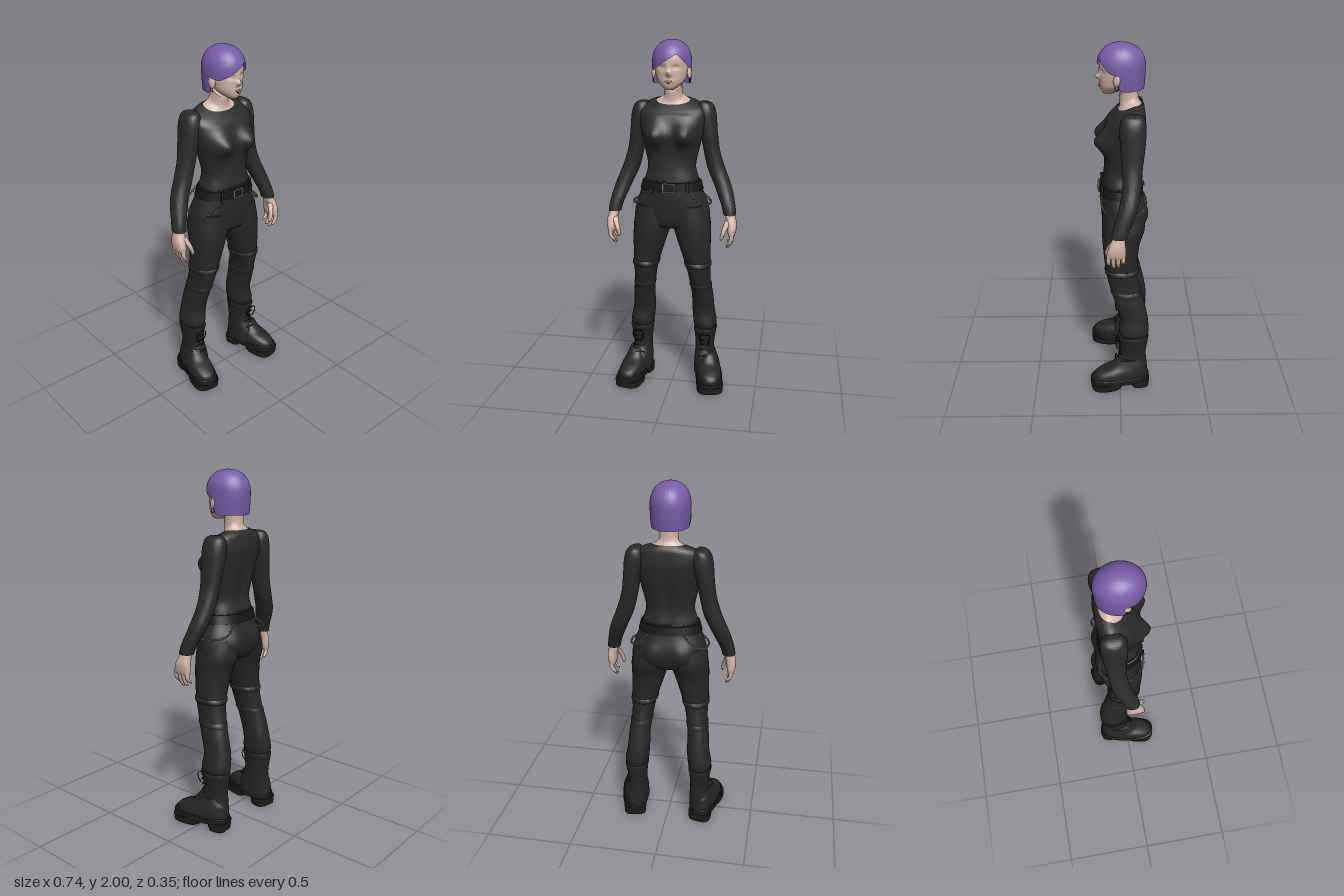
import * as THREE from 'three';
import { toCreasedNormals } from 'three/addons/utils/BufferGeometryUtils.js';

const mat = (name, color, side = THREE.FrontSide) => {
  const m = new THREE.MeshStandardMaterial({ color, side });
  m.name = name;
  return m;
};

// Smooth rows of numbers with a Catmull-Rom spline, k steps per span
function smooth(rows, k) {
  const out = [], at = i => rows[Math.max(0, Math.min(rows.length - 1, i))];
  for (let i = 0; i < rows.length - 1; i++) {
    for (let j = 0; j < k; j++) {
      const t = j / k, a = at(i - 1), b = at(i), c = at(i + 1), d = at(i + 2);
      out.push(b.map((_, n) => 0.5 * (2 * b[n] + (c[n] - a[n]) * t
        + (2 * a[n] - 5 * b[n] + 4 * c[n] - d[n]) * t * t
        + (3 * b[n] - a[n] - 3 * c[n] + d[n]) * t * t * t)));
    }
  }
  out.push(rows[rows.length - 1]);
  return out;
}

// Join equal rings of points, listed from top to bottom
function skin(rings, crease = 1) {
  const seg = rings[0].length, index = [];
  for (let i = 0; i < rings.length - 1; i++) {
    for (let j = 0; j < seg; j++) {
      const p = i * seg + j, q = i * seg + (j + 1) % seg;
      index.push(p, q, p + seg, q, q + seg, p + seg);
    }
  }
  const g = new THREE.BufferGeometry();
  g.setAttribute('position', new THREE.Float32BufferAttribute(rings.flat(2), 3));
  g.setIndex(index);
  return toCreasedNormals(g, crease);
}

// Body part from level rings; each row is [y, x0, x1, zBack, zFront]
function loft(rows, { k = 5, seg = 32, n = 2.2, caps = true, bump = null, crease = 1 } = {}) {
  const rings = smooth(rows, k).map(([y, x0, x1, z0, z1]) => Array.from({ length: seg }, (_, j) => {
    const a = j / seg * Math.PI * 2, c = Math.cos(a), s = Math.sin(a);
    const p = [(x0 + x1) / 2 + (x1 - x0) / 2 * Math.sign(c) * Math.abs(c) ** (2 / n), y,
      (z0 + z1) / 2 + (z1 - z0) / 2 * Math.sign(s) * Math.abs(s) ** (2 / n)];
    return bump ? bump(p, s) : p;
  }));
  if (caps) {
    const centre = r => r.map(() => [0, 1, 2].map(i => r.reduce((t, p) => t + p[i], 0) / seg));
    rings.unshift(centre(rings[0]));
    rings.push(centre(rings[rings.length - 1]));
  }
  return skin(rings, crease);
}

const sym = rows => rows.map(([y, r, z0, z1]) => [y, -r, r, z0, z1]);
const flip = (rows, s) => s > 0 ? rows : rows.map(([y, a, b, c, d]) => [y, -b, -a, c, d]);
const grow = (rows, d) => rows.map(([y, a, b, c, e]) => [y, a - d, b + d, c - d, e + d]);
const gauss = (x, y, cx, cy, sx, sy) => Math.exp(-(((x - cx) / sx) ** 2) - ((y - cy) / sy) ** 2);
const path = pts => new THREE.CatmullRomCurve3(pts.map(p => new THREE.Vector3(...p)));

// Hair shell with a lower edge that varies around the head (degrees from model's left)
const HAIRLINE = [[-180, 1.765], [-8, 1.765], [4, 1.775], [12, 1.85], [30, 1.862], [55, 1.905], [66, 1.925],
  [90, 1.9], [120, 1.865], [148, 1.84], [166, 1.85], [173, 1.775], [180, 1.765]];
function hairGeometry() {
  const edge = d => {
    const i = Math.max(1, HAIRLINE.findIndex(h => h[0] >= d)), a = HAIRLINE[i - 1], b = HAIRLINE[i];
    return a[1] + (b[1] - a[1]) * (d - a[0]) / (b[0] - a[0]);
  };
  const seg = 96, steps = 24, rings = [];
  for (let i = 0; i <= steps; i++) {
    rings.push(Array.from({ length: seg }, (_, j) => {
      const d = -180 + j / seg * 360, a = d * Math.PI / 180;
      const y = 2 - (2 - edge(d)) * (1 - Math.cos(i / steps * Math.PI / 2));
      const u = Math.max(0, (y - 1.88) / 0.12), low = Math.max(0, 1.88 - y);
      const s = Math.max(0, 1 - u ** 2.2) ** (1 / 2.2) * (1 - 0.5 * low * low / 0.115);
      return [0.107 * s * Math.cos(a), y, -0.008 + 0.127 * s * Math.sin(a)];
    }));
  }
  return skin(rings, 1.2);
}

export function createModel() {
  const root = new THREE.Group();
  root.name = 'figure';
  const M = {
    skin: mat('skin', 0xcfb3a7), hair: mat('hair purple', 0x775ca6, THREE.DoubleSide),
    shirt: mat('shirt black', 0x2a2a2a, THREE.DoubleSide), pants: mat('trouser black', 0x272727),
    boot: mat('boot black', 0x252525), sole: mat('sole black', 0x1d1d1d), metal: mat('chain steel', 0x8c8c8c),
    dark: mat('dark detail', 0x171717), lips: mat('lips', 0xa98880),
  };
  const add = (name, geo, m, parent = root) => {
    const mesh = new THREE.Mesh(geo, m);
    mesh.name = name;
    parent.add(mesh);
    return mesh;
  };
  const tube = (name, pts, r, m, parent = root) =>
    add(name, new THREE.TubeGeometry(path(pts), 16, r, 6), m, parent);

  // Head and neck
  add('head', loft(sym([[1.985, 0.03, -0.05, 0.04], [1.95, 0.075, -0.1, 0.085], [1.9, 0.09, -0.115, 0.104],
    [1.85, 0.09, -0.11, 0.103], [1.81, 0.083, -0.085, 0.102], [1.78, 0.07, -0.045, 0.101],
    [1.755, 0.046, -0.01, 0.098], [1.738, 0.022, 0.03, 0.088]]), {
    k: 8, seg: 80, n: 2.1, crease: 1.3, bump: ([x, y, z], s) => {
      if (s > 0) {
        z += 0.024 * gauss(x, y, 0, 1.824, 0.013, 0.014) + 0.01 * gauss(x, y, 0, 1.845, 0.011, 0.025)
          + 0.006 * gauss(x, y, 0, 1.785, 0.022, 0.01)
          - 0.009 * (gauss(x, y, 0.037, 1.856, 0.02, 0.012) + gauss(x, y, -0.037, 1.856, 0.02, 0.012));
      }
      return [x, y, z];
    },
  }), M.skin);
  const tilt = ([x, y, z]) => [x, y - Math.max(0, y - 1.6) * Math.max(0, z + 0.07) * 5, z];
  add('neck', loft(sym([[1.8, 0.05, -0.095, 0.005], [1.74, 0.049, -0.097, 0.002], [1.71, 0.055, -0.1, 0.002],
    [1.69, 0.078, -0.11, 0.006], [1.675, 0.106, -0.118, 0.014], [1.655, 0.12, -0.115, 0.015]]), { bump: tilt }), M.skin);
  add('hair', hairGeometry(), M.hair);
  const mouth = add('lips', new THREE.SphereGeometry(1, 16, 10), M.lips);
  mouth.scale.set(0.018, 0.006, 0.005);
  mouth.position.set(0, 1.785, 0.105);
  const stud = add('lipStud', new THREE.SphereGeometry(0.004, 8, 6), M.dark);
  stud.position.set(0, 1.774, 0.107);

  // Shirt body
  add('shirtBody', loft(sym([[1.688, 0.095, -0.115, 0.008], [1.668, 0.145, -0.13, 0.028], [1.64, 0.18, -0.136, 0.045],
    [1.58, 0.188, -0.14, 0.068], [1.5, 0.172, -0.13, 0.083], [1.42, 0.153, -0.115, 0.085], [1.32, 0.134, -0.1, 0.087],
    [1.25, 0.15, -0.108, 0.095], [1.19, 0.163, -0.118, 0.1]]), {
    k: 6, seg: 64, n: 2.3, caps: false, bump: ([x, y, z], s) => {
      if (s > 0) z += 0.064 * (gauss(x, y, 0.085, 1.495, 0.058, 0.062) + gauss(x, y, -0.085, 1.495, 0.058, 0.062));
      else z += 0.014 * gauss(x, y, 0, 1.42, 0.03, 0.15);
      return tilt([x, y, z]);
    },
  }), M.shirt);

  // Trouser hips and belt
  const hips = sym([[1.245, 0.154, -0.112, 0.1], [1.18, 0.174, -0.125, 0.107], [1.1, 0.204, -0.142, 0.106],
    [1.03, 0.215, -0.138, 0.1], [0.98, 0.2, -0.115, 0.085], [0.965, 0.12, -0.07, 0.05]]);
  add('trouserHips', loft(hips, {
    seg: 48, bump: ([x, y, z], s) => [x, y, s < 0
      ? z - 0.022 * (gauss(x, y, 0.09, 1.07, 0.06, 0.07) + gauss(x, y, -0.09, 1.07, 0.06, 0.07)) : z],
  }), M.pants);
  add('belt', loft(grow(sym([[1.238, 0.156, -0.113, 0.102], [1.236, 0.161, -0.118, 0.107],
    [1.188, 0.174, -0.126, 0.109], [1.186, 0.169, -0.121, 0.104]]), 0.004), { k: 1, seg: 48, crease: 0.6 }), M.dark);
  const buckle = add('beltBuckle', new THREE.TorusGeometry(0.034, 0.005, 6, 4), M.metal);
  buckle.geometry.rotateZ(Math.PI / 4);
  buckle.scale.set(1.25, 0.95, 1);
  buckle.position.set(0, 1.21, 0.117);

  for (const s of [1, -1]) {
    const side = new THREE.Group();
    side.name = s > 0 ? 'leftSide' : 'rightSide';
    root.add(side);
    const part = (name, rows, m, opt) => add(name, loft(flip(rows, s), opt), m, side);
    const line = (name, pts, r, m) => tube(name, pts.map(([x, y, z]) => [s * x, y, z]), r, m, side);

    // Ear, earring and lashes
    const ear = add('ear', new THREE.SphereGeometry(1, 14, 10), M.skin, side);
    ear.scale.set(0.011, 0.031, 0.019);
    ear.position.set(s * 0.098, 1.825, 0.016);
    ear.rotation.set(-0.15, s * -0.35, 0);
    const ring = add('earring', new THREE.TorusGeometry(0.01, 0.002, 6, 14), M.dark, side);
    ring.position.set(s * 0.1, 1.787, 0.016);
    ring.rotation.y = Math.PI / 2;
    line('lashes', [[0.022, 1.855, 0.089], [0.037, 1.86, 0.085], [0.053, 1.855, 0.077]], 0.0018, M.dark);

    // Sleeve and hand
    part('sleeve', [[1.668, 0.15, 0.19, -0.1, -0.03], [1.652, 0.135, 0.218, -0.125, -0.01], [1.6, 0.125, 0.237, -0.135, 0.003],
      [1.5, 0.15, 0.246, -0.13, 0], [1.4, 0.17, 0.26, -0.118, -0.008], [1.3, 0.194, 0.292, -0.11, -0.01],
      [1.2, 0.238, 0.332, -0.092, 0.008], [1.1, 0.28, 0.358, -0.05, 0.038], [1.05, 0.293, 0.365, -0.035, 0.048]], M.shirt);
    part('palm', [[1.08, 0.3, 0.352, -0.024, 0.034], [1.04, 0.306, 0.36, -0.024, 0.044], [1, 0.316, 0.37, -0.028, 0.062],
      [0.96, 0.32, 0.368, -0.03, 0.074], [0.935, 0.326, 0.36, -0.026, 0.07]], M.skin, { seg: 20, n: 2.6 });
    [[0.062, 0.88], [0.036, 0.862], [0.01, 0.865], [-0.016, 0.885]].forEach(([z, tip], i) => {
      const f = (y, x, r, dz) => [y, x - r, x + r, z + dz - r, z + dz + r];
      part('finger' + (i + 1), [f(0.965, 0.348, 0.013, 0), f(0.925, 0.346, 0.0125, 0.002), f((0.925 + tip) / 2, 0.338, 0.011, 0.002),
        f(tip + 0.008, 0.325, 0.009, 0), f(tip, 0.32, 0.004, 0)], M.skin, { k: 3, seg: 10, n: 2 });
    });
    part('thumb', [[1.02, 0.305, 0.34, 0.02, 0.05], [0.985, 0.295, 0.325, 0.042, 0.072], [0.95, 0.285, 0.308, 0.058, 0.083],
      [0.925, 0.282, 0.3, 0.062, 0.082], [0.915, 0.286, 0.295, 0.066, 0.076]], M.skin, { k: 3, seg: 12, n: 2 });

    // Trouser leg with raised seams
    part('trouserLeg', [[1.1, 0.01, 0.195, -0.13, 0.095], [1, 0.002, 0.218, -0.138, 0.1], [0.9, 0.03, 0.222, -0.108, 0.096],
      [0.75, 0.078, 0.222, -0.1, 0.08], [0.65, 0.1, 0.221, -0.115, 0.058], [0.55, 0.112, 0.234, -0.14, 0.028],
      [0.45, 0.113, 0.242, -0.16, 0.002], [0.37, 0.12, 0.256, -0.166, 0.008], [0.335, 0.13, 0.245, -0.155, -0.005]], M.pants);
    part('kneeSeam', [[0.768, 0.074, 0.222, -0.1, 0.083], [0.762, 0.07, 0.227, -0.105, 0.088],
      [0.742, 0.075, 0.228, -0.106, 0.085], [0.736, 0.08, 0.223, -0.1, 0.08]], M.pants, { k: 1 });
    part('shinSeam', [[0.63, 0.103, 0.223, -0.12, 0.053], [0.622, 0.1, 0.228, -0.124, 0.055],
      [0.607, 0.105, 0.229, -0.127, 0.047], [0.6, 0.107, 0.226, -0.128, 0.042]], M.pants, { k: 1 });

    // Boot shaft and padded top
    part('bootShaft', [[0.345, 0.125, 0.255, -0.163, 0.012], [0.33, 0.122, 0.258, -0.166, 0.014], [0.3, 0.128, 0.252, -0.162, 0.006],
      [0.22, 0.134, 0.243, -0.152, 0], [0.15, 0.13, 0.252, -0.157, 0.03], [0.07, 0.128, 0.26, -0.165, 0.05]], M.boot);

    // Foot, turned outward
    const foot = new THREE.Group();
    foot.name = 'bootFoot';
    foot.position.x = s * 0.222;
    foot.rotation.y = s * 0.19;
    side.add(foot);
    const foots = (name, rows, m, opt) => add(name, loft(sym(rows), opt), m, foot);
    foots('bootUpper', [[0.19, 0.045, -0.13, 0.02], [0.15, 0.058, -0.155, 0.055], [0.125, 0.066, -0.16, 0.115],
      [0.1, 0.071, -0.165, 0.155], [0.06, 0.073, -0.168, 0.168]], M.boot, { n: 2.5 });
    foots('soleWelt', [[0.078, 0.074, -0.168, 0.17], [0.075, 0.078, -0.172, 0.175], [0.045, 0.078, -0.172, 0.175],
      [0.04, 0.07, -0.16, 0.165]], M.sole, { k: 1, n: 2.7, crease: 0.6 });
    foots('soleFront', [[0.05, 0.078, -0.02, 0.175], [0.012, 0.076, -0.005, 0.172], [0.005, 0.07, 0.005, 0.155]],
      M.sole, { k: 1, n: 3, crease: 0.6 });
    foots('soleHeel', [[0.05, 0.068, -0.173, -0.05], [0, 0.064, -0.168, -0.065]], M.sole, { k: 1, n: 3.2, crease: 0.6 });

    // Laces and bow
    for (let i = 0; i < 5; i++) {
      const y = 0.18 + i * 0.032, z = i === 0 ? 0.028 : 0.006 + Math.max(0, i - 2) * 0.003;
      line('lace' + (i + 1), [[0.165, y, z - 0.008], [0.195, y + 0.006, z], [0.225, y, z - 0.008]], 0.004, M.dark);
    }
    for (const d of [-1, 1]) {
      line('laceBow', [[0.2, 0.31, 0.012], [0.2 + d * 0.025, 0.318, 0.024], [0.2 + d * 0.03, 0.285, 0.022],
        [0.2 + d * 0.012, 0.25, 0.016]], 0.003, M.dark);
    }

    // Belt loops and hip chain
    const loop = add('beltLoop', new THREE.BoxGeometry(0.014, 0.065, 0.012), M.pants, side);
    loop.position.set(s * 0.1, 1.21, 0.1);
    loop.rotation.y = s * 0.45;
    const curve = path([[0.1, 1.185, 0.104], [0.15, 1.135, 0.094], [0.2, 1.11, 0.05], [0.219, 1.11, -0.02],
      [0.2, 1.115, -0.09], [0.155, 1.14, -0.138], [0.1, 1.19, -0.132]].map(([x, y, z]) => [s * x, y, z]));
    const links = 34, chain = new THREE.Group();
    chain.name = 'hipChain';
    side.add(chain);
    for (let i = 0; i <= links; i++) {
      const link = add('chainLink', new THREE.TorusGeometry(0.0075, 0.0022, 5, 10), M.metal, chain);
      link.geometry.scale(1.3, 0.85, 1).rotateX(i % 2 ? Math.PI / 4 : -Math.PI / 4);
      link.position.copy(curve.getPointAt(i / links));
      link.quaternion.setFromUnitVectors(new THREE.Vector3(1, 0, 0), curve.getTangentAt(i / links));
    }
  }
  return root;
}
